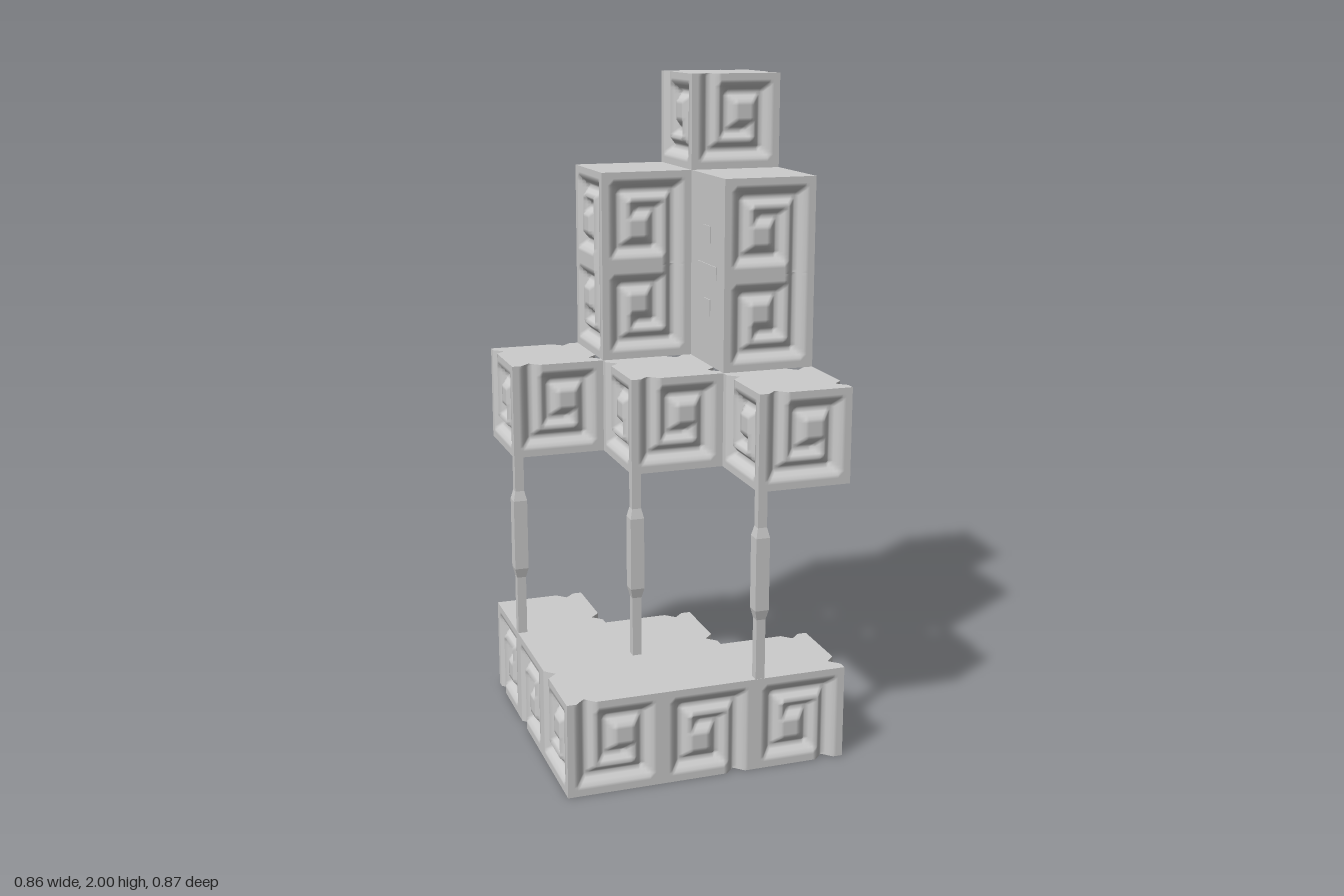
import * as THREE from 'three';
import { mergeGeometries } from 'three/addons/utils/BufferGeometryUtils.js';

const U = 2 / 7;          // block size
const G = U / 30;         // carving grid step
const H = U / 2;
const material = new THREE.MeshStandardMaterial({ color: 0xcccccc });

// Square spiral of the carved groove, in grid steps from the face centre
const SPIRAL = [[-9, 18], [-9, -9], [9, -9], [9, 9], [-3, 9], [-3, -3], [3, -3]];

function grooveDepth(x, y) {
  let nearest = Infinity;
  for (let i = 1; i < SPIRAL.length; i++) {
    const [ax, ay] = SPIRAL[i - 1], [bx, by] = SPIRAL[i];
    const px = THREE.MathUtils.clamp(x, Math.min(ax, bx), Math.max(ax, bx));
    const py = THREE.MathUtils.clamp(y, Math.min(ay, by), Math.max(ay, by));
    nearest = Math.min(nearest, Math.max(Math.abs(x - px), Math.abs(y - py)));
  }
  return Math.max(0, 3 - nearest) * G;
}

// One block side; flip = [sx, sy] mirrors the carving, 'plain' leaves it flat
function sidePanel(flip) {
  if (flip === 'plain') return new THREE.PlaneGeometry(U, U);
  const geo = new THREE.PlaneGeometry(U, U, 30, 30);
  const p = geo.attributes.position;
  for (let i = 0; i < p.count; i++) {
    p.setZ(i, -grooveDepth(flip[0] * p.getX(i) / G, flip[1] * p.getY(i) / G));
  }
  geo.computeVertexNormals();
  return geo;
}

// Top (dir 1) or bottom (dir -1), notched where a groove runs out over the edge
function cap(sides, dir) {
  const points = [];
  sides.forEach((flip, a) => {
    const edge = [[-H, H]];
    if (Array.isArray(flip) && flip[1] === dir) {
      const c = -9 * G * flip[0];
      edge.push([c - 3 * G, H], [c, H - 3 * G], [c + 3 * G, H]);
    }
    const cos = Math.round(Math.cos(a * Math.PI / 2)), sin = Math.round(Math.sin(a * Math.PI / 2));
    for (const [x, z] of edge) {
      points.push(new THREE.Vector2(x * cos + z * sin, -dir * (z * cos - x * sin)));
    }
  });
  const geo = new THREE.ShapeGeometry(new THREE.Shape(points));
  return geo.rotateX(-dir * Math.PI / 2).translate(0, dir * H, 0);
}

// Sides are ordered front, left (+x), back, right (-x); null is left open
function block(name, x, level, z, sides, top = true, bottom = true) {
  const parts = [];
  sides.forEach((flip, a) => {
    if (flip) parts.push(sidePanel(flip).translate(0, 0, H).rotateY(a * Math.PI / 2));
  });
  if (top) parts.push(cap(sides, 1));
  if (bottom) parts.push(cap(sides, -1));
  const mesh = new THREE.Mesh(mergeGeometries(parts), material);
  mesh.name = name;
  mesh.position.set(x * U, (level + 0.5) * U, z * U);
  return mesh;
}

// Two-block column whose carvings meet in the middle
function tallBlock(x, z, plainSides) {
  const group = new THREE.Group();
  group.name = 'tallBlock';
  const sides = (sy) => [0, 1, 2, 3].map((a) => (plainSides.includes(a) ? 'plain' : [-1, sy]));
  group.add(block('tallBlockLower', x, 4, z, sides(1), false, true));
  group.add(block('tallBlockUpper', x, 5, z, sides(-1), true, false));
  // Low raised marks on the plain sides
  for (const a of plainSides) {
    const marks = [[0.055, 0.05, 0.11], [0.16, 0.04, 0], [0.055, 0.05, -0.11]].map(([w, h, y]) =>
      new THREE.BoxGeometry(w, h, 0.006).translate(0, y, H));
    const mesh = new THREE.Mesh(mergeGeometries(marks).rotateY(a * Math.PI / 2), material);
    mesh.name = 'sideMarks';
    mesh.position.set(x * U, 5 * U, z * U);
    group.add(mesh);
  }
  return group;
}

// Slim square post with a thicker middle
function post(x, z) {
  const k = Math.SQRT1_2;
  const profile = [[0.014, U], [0.014, 0.47], [0.021, 0.5], [0.021, 0.72], [0.014, 0.75], [0.014, 3 * U]]
    .map(([r, y]) => new THREE.Vector2(r / k, y));
  const geo = new THREE.LatheGeometry(profile, 4, Math.PI / 4).toNonIndexed();
  geo.computeVertexNormals();
  const mesh = new THREE.Mesh(geo, material);
  mesh.name = 'post';
  mesh.position.set(x * U - H + 0.015, 0, z * U + H - 0.015);
  return mesh;
}

export function createModel() {
  const model = new THREE.Group();
  model.name = 'steppedBlocks';
  const body = new THREE.Group();
  body.name = 'body';
  body.position.set(0.002, 0, -0.003);
  model.add(body);

  const std = [1, 1];
  const all = [std, std, std, std];

  // Stepped base
  const base = new THREE.Group();
  base.name = 'base';
  for (let z = -1; z <= 1; z++) {
    for (let x = -1; x <= z; x++) {
      base.add(block('baseBlock', x, 0, z, [
        z === 1 ? (x === -1 ? std : [-1, -1]) : null,
        x === z ? std : null,
        x === z ? std : null,
        x === -1 ? (z === 1 ? std : [1, -1]) : null,
      ]));
    }
  }
  body.add(base);

  // Diagonal row of posts carrying cubes
  for (let i = -1; i <= 1; i++) {
    body.add(post(i, i), block('middleCube', i, 3, i, all));
  }

  // Two tall blocks and the top cube
  body.add(tallBlock(0, -1, [1, 2]), tallBlock(1, 0, [3]));
  body.add(block('topCube', 1, 6, -1, all));
  return model;
}
